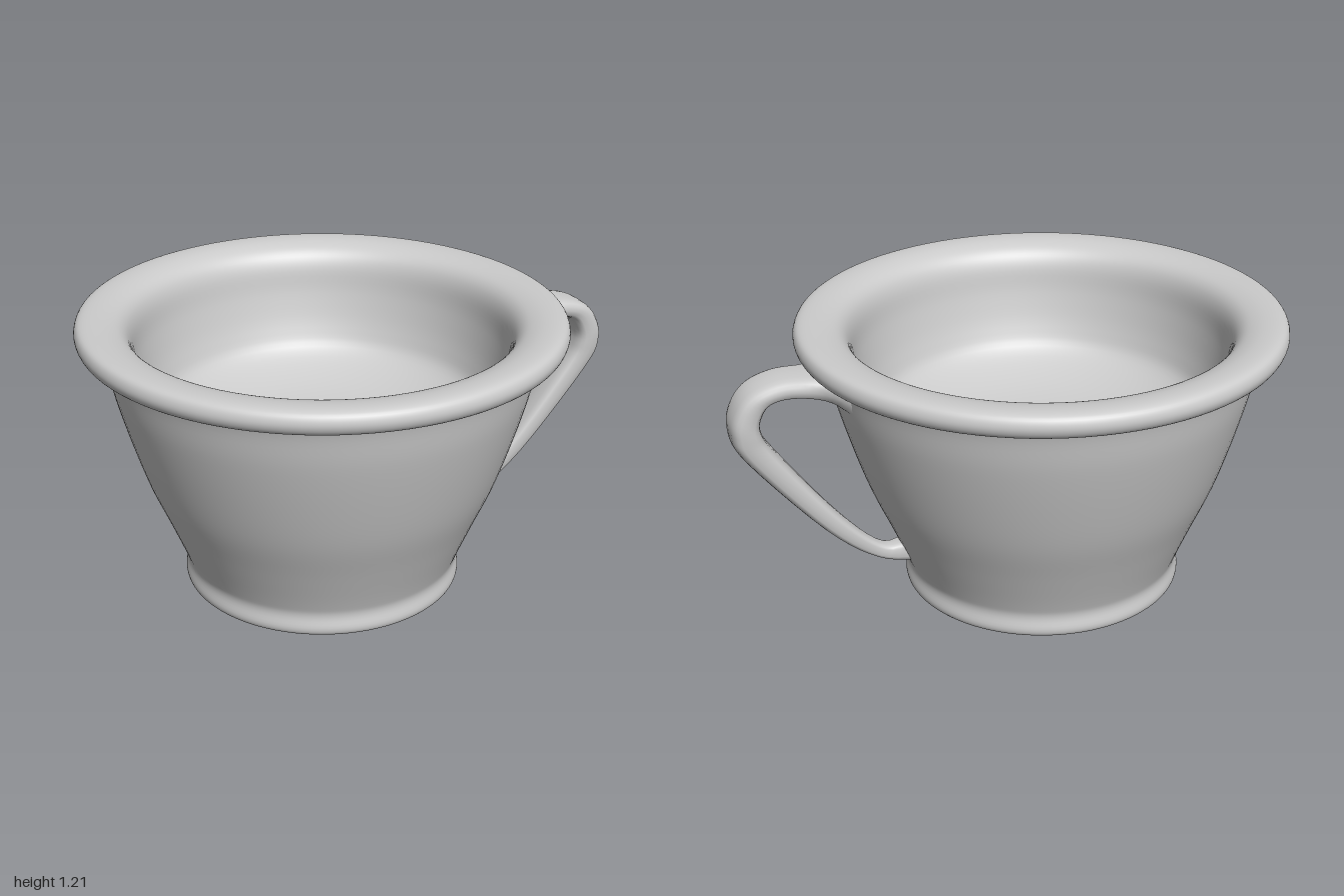
import * as THREE from 'three';

const material = new THREE.MeshStandardMaterial({ color: 0xcccccc });
const spline = (points) => new THREE.SplineCurve(points.map(([x, y]) => new THREE.Vector2(x, y)));

// Closed cup wall: underside, foot, flared side, rolled rim, then the shallow bowl inside
function createCup() {
  const profile = spline([
    [0, 0.005], [0.3, 0.008], [0.5, 0.015], [0.57, 0.03], [0.588, 0.06], [0.578, 0.12],
    [0.595, 0.18], [0.66, 0.34], [0.735, 0.52], [0.8, 0.72], [0.855, 0.92], [0.882, 1.06],
    [0.9, 1.1], [0.945, 1.112], [0.985, 1.128], [1, 1.165], [0.985, 1.203], [0.94, 1.215],
    [0.87, 1.208], [0.81, 1.18], [0.775, 1.12], [0.755, 1.0], [0.715, 0.85],
    [0.66, 0.755], [0.5, 0.68], [0.3, 0.64], [0, 0.62],
  ]).getPoints(130);
  profile[0].x = 0;
  profile[profile.length - 1].x = 0;
  const cup = new THREE.Mesh(new THREE.LatheGeometry(profile, 96), material);
  cup.name = 'cup';
  return cup;
}

// Strap handle lofted between an outer and an inner edge curve, tapering downwards
function createHandle() {
  const outer = spline([[0.83, 1.11], [0.97, 1.112], [1.1, 1.115], [1.21, 1.08], [1.275, 1.01],
    [1.3, 0.91], [1.25, 0.78], [0.95, 0.41], [0.74, 0.235], [0.57, 0.19]]);
  const inner = spline([[0.8, 0.9], [0.9, 0.99], [1.03, 1.03], [1.13, 1.025], [1.175, 0.97],
    [1.18, 0.9], [1.125, 0.79], [0.88, 0.455], [0.7, 0.285], [0.57, 0.32]]);
  // Half widths: flared where the strap meets the cup
  const halfWidths = spline([[0, 0.22], [1, 0.125], [2, 0.105], [3, 0.1], [4, 0.097],
    [5, 0.095], [6, 0.085], [7, 0.06], [8, 0.037], [9, 0.06]]);
  const rows = 45, sides = 20;
  const positions = [], indices = [];
  // Squared oval section
  const soft = (v) => Math.sign(v) * Math.abs(v) ** 0.65;
  for (let i = 0; i <= rows; i++) {
    const o = outer.getPoint(i / rows), n = inner.getPoint(i / rows);
    const w = halfWidths.getPoint(i / rows).y;
    for (let j = 0; j < sides; j++) {
      const a = (j / sides) * Math.PI * 2;
      const k = (1 + soft(Math.cos(a))) / 2;
      positions.push(n.x + (o.x - n.x) * k, n.y + (o.y - n.y) * k, w * soft(Math.sin(a)));
      if (i < rows) {
        const p = i * sides + j, q = i * sides + ((j + 1) % sides);
        indices.push(p, q, p + sides, q, q + sides, p + sides);
      }
    }
  }
  const geometry = new THREE.BufferGeometry();
  geometry.setAttribute('position', new THREE.Float32BufferAttribute(positions, 3));
  geometry.setIndex(indices);
  geometry.computeVertexNormals();
  const handle = new THREE.Mesh(geometry, material);
  handle.name = 'handle';
  handle.rotation.y = Math.PI / 4 + 0.025;
  return handle;
}

export function createModel() {
  const group = new THREE.Group();
  group.name = 'teacup';
  group.add(createCup(), createHandle());
  return group;
}
